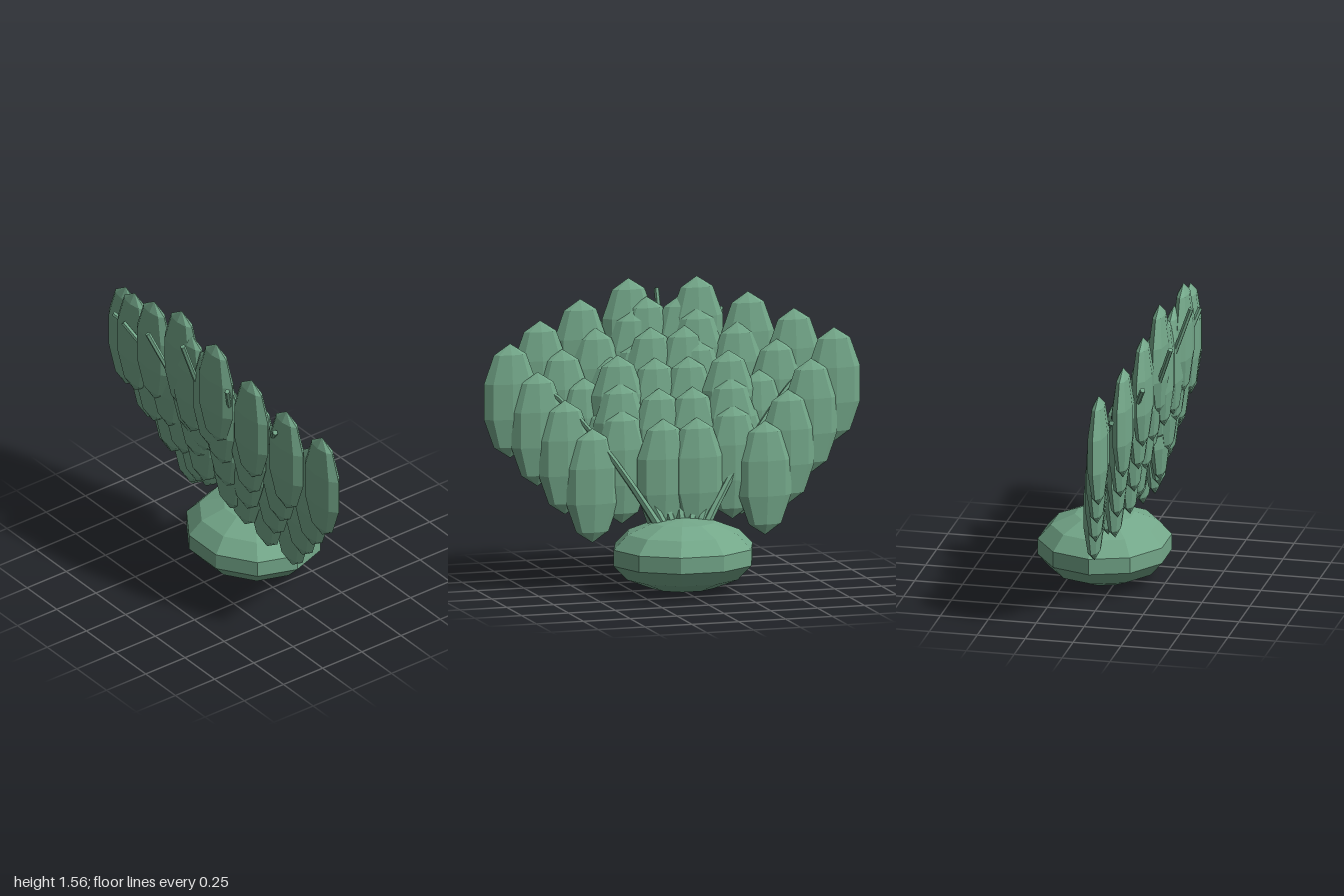
import * as THREE from 'three';

export function createModel() {
  const model = new THREE.Group();
  model.name = 'fanTail';
  const green = new THREE.MeshStandardMaterial({ color: 0x74a88a, flatShading: true });
  green.name = 'sageGreen';

  function add(name, geometry, x, y, z, parent = model) {
    const mesh = new THREE.Mesh(geometry, green);
    mesh.name = name;
    mesh.position.set(x, y, z);
    parent.add(mesh);
    return mesh;
  }

  // Faceted rump at the base
  add('base', new THREE.SphereGeometry(1, 10, 7).scale(0.38, 0.187, 0.35), 0, 0.19, -0.065);

  // Overlapping upright feathers: four arched rows, stepping down, inward and back
  const feather = new THREE.SphereGeometry(1, 8, 5).scale(0.147, 0.295, 0.051);
  const arch = [[0.175, 1.27, 0.305], [0.44, 1.18, 0.28], [0.67, 1.09, 0.23], [0.857, 0.995, 0.145]];
  for (let row = 0; row < 4; row++) {
    const group = new THREE.Group();
    group.name = 'featherRow' + (row + 1);
    model.add(group);
    arch.forEach(([x, y, z], column) => {
      const shrink = column === 0 ? 0.06 : 0.157;
      for (const side of [-1, 1]) {
        add('feather', feather, side * x * (1 - shrink * row), y - 0.147 * row - (column === 0 ? 0.01 * row : 0),
          z - 0.038 * row - (side < 0 ? 0.045 : 0), group);
      }
    });
  }

  // Inner feathers filling the back of the fan down to the base
  const inner = new THREE.Group();
  inner.name = 'innerFeathers';
  model.add(inner);
  for (const side of [-1, 1]) {
    for (let i = 0; i < 5; i++) {
      add('middleFeather', feather, side * 0.088, 1.175 - 0.146 * i, 0.27 - 0.07 * i + side * 0.005, inner);
    }
    for (let i = 0; i < 3; i++) {
      add('sideFeather', feather, side * 0.29, 0.91 - 0.135 * i, 0.105 - 0.035 * i + side * 0.015, inner);
    }
  }

  // Curved quills, tapering from the base and bending outward through the feathers
  function quill(x, y, z, bendX, bendY, bendZ) {
    const curve = new THREE.QuadraticBezierCurve3(
      new THREE.Vector3(x * 0.12, 0.3, -0.06),
      new THREE.Vector3(bendX, bendY, bendZ),
      new THREE.Vector3(x, y, z));
    const segments = 8, sides = 6;
    const geometry = new THREE.TubeGeometry(curve, segments, 0.014, sides, false);
    const p = geometry.attributes.position;
    const v = new THREE.Vector3();
    for (let i = 0; i < p.count; i++) {
      const t = Math.floor(i / (sides + 1)) / segments;
      const centre = curve.getPointAt(t);
      v.fromBufferAttribute(p, i).sub(centre).multiplyScalar(1 + 0.8 * (1 - t) ** 3).add(centre);
      p.setXYZ(i, v.x, v.y, v.z);
    }
    geometry.computeVertexNormals();
    add('quill', geometry, 0, 0, 0);

    // Closed tip
    const tip = add('quillTip', new THREE.CircleGeometry(0.014, sides), x, y, z);
    tip.quaternion.setFromUnitVectors(new THREE.Vector3(0, 0, 1), curve.getTangentAt(1));
  }
  quill(0, 1.49, 0.385, 0, 0.9, 0.18);
  for (const side of [-1, 1]) {
    quill(side * 0.335, 1.38, 0.355, side * 0.17, 0.9, 0.18);
    quill(side * 0.64, 1.26, 0.28, side * 0.4, 1.0, 0.15);
    quill(side * 0.865, 1.15, 0.17, side * 0.57, 1.1, 0.07);
  }

  return model;
}
